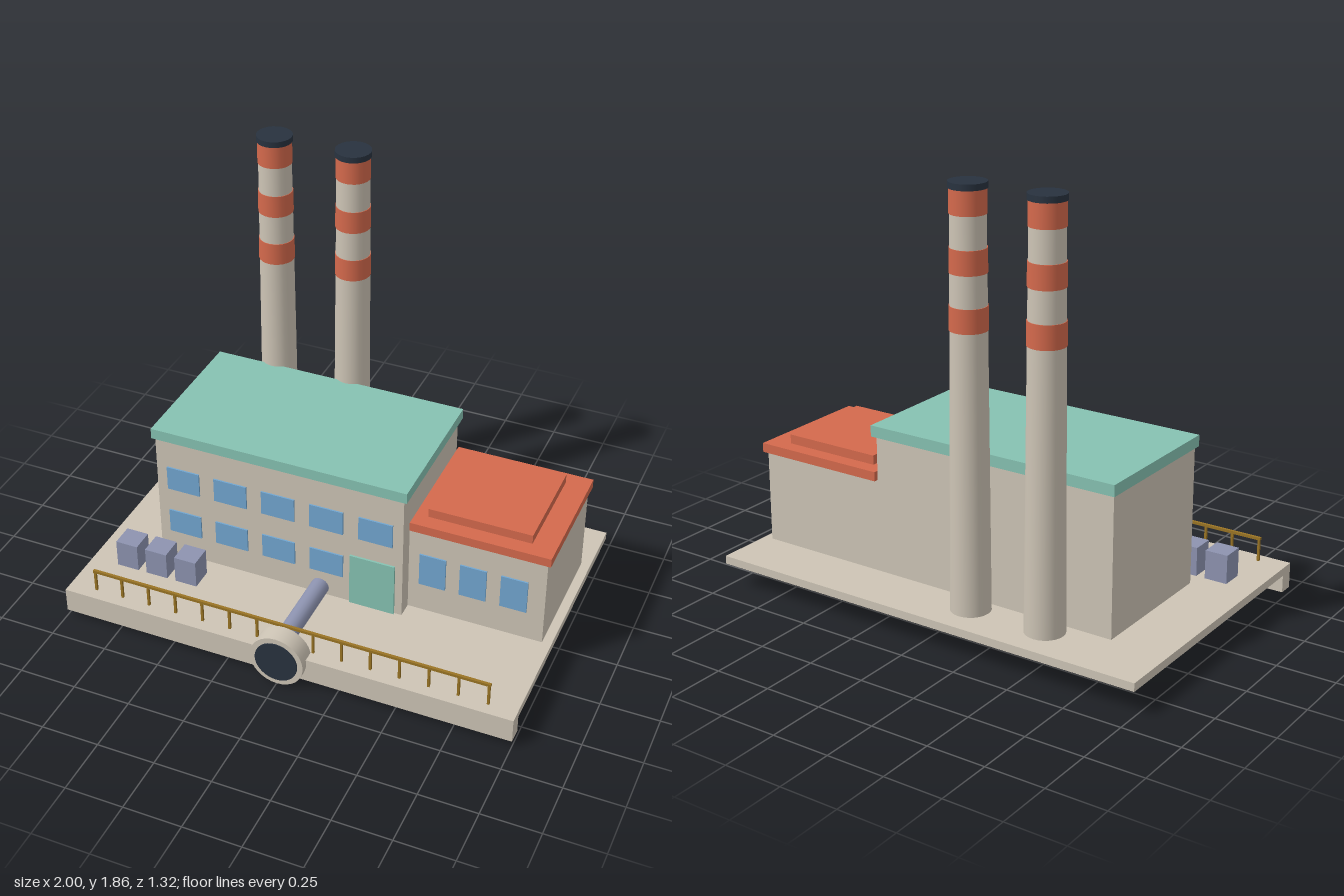
import * as THREE from 'three';

const mat = (name, color) => {
  const m = new THREE.MeshStandardMaterial({ color });
  m.name = name;
  return m;
};

export function createModel() {
  const concrete = mat('concrete', 0xcdc4b5);
  const teal = mat('teal', 0x86c2b2);
  const red = mat('brick red', 0xd4694c);
  const glass = mat('window blue', 0x72a6d0);
  const steel = mat('steel lavender', 0x8d93b0);
  const dark = mat('dark navy', 0x28323f);
  const gold = mat('railing gold', 0x9a7424);

  const model = new THREE.Group();
  model.name = 'powerPlant';

  // Box given by its min and max on each axis
  const box = (name, m, x0, x1, y0, y1, z0, z1, parent = model) => {
    const mesh = new THREE.Mesh(new THREE.BoxGeometry(x1 - x0, y1 - y0, z1 - z0), m);
    mesh.position.set((x0 + x1) / 2, (y0 + y1) / 2, (z0 + z1) / 2);
    mesh.name = name;
    parent.add(mesh);
    return mesh;
  };
  const group = (name) => {
    const g = new THREE.Group();
    g.name = name;
    model.add(g);
    return g;
  };

  // Ground slab with a deeper front lip
  box('baseSlab', concrete, -1, 1, 0.105, 0.14, -0.66, 0.56);
  box('baseLip', concrete, -1, 1, 0.03, 0.14, 0.555, 0.62);

  // Main hall
  box('mainHall', concrete, -0.75, 0.37, 0.14, 0.735, -0.41, 0.21);
  box('mainRoof', teal, -0.762, 0.385, 0.735, 0.783, -0.428, 0.222);
  box('door', teal, 0.137, 0.337, 0.14, 0.39, 0.21, 0.219);

  // Side annex
  box('annex', concrete, 0.37, 0.96, 0.14, 0.543, -0.41, 0.14);
  box('annexRoof', red, 0.372, 0.973, 0.543, 0.583, -0.428, 0.147);
  box('annexRoofCap', red, 0.427, 0.872, 0.583, 0.623, -0.364, 0.08);

  // Windows: five above, four below beside the door, three on the annex
  const windows = group('windows');
  const pane = (x, y, w, h, z) =>
    box('window', glass, x - w / 2, x + w / 2, y - h / 2, y + h / 2, z, z + 0.007, windows);
  for (let i = 0; i < 5; i++) {
    const x = -0.626 + i * 0.219;
    pane(x, 0.543, 0.15, 0.112, 0.21);
    if (i < 4) pane(x, 0.318, 0.15, 0.112, 0.21);
  }
  for (let i = 0; i < 3; i++) pane(0.476 + i * 0.176, 0.355, 0.115, 0.155, 0.14);

  // Tapered chimneys with painted bands and dark caps
  const y0 = 0.14, y1 = 1.84;
  const radiusAt = (y) => 0.083 - 0.014 * (y - y0) / (y1 - y0);
  for (const x of [-0.5, -0.15]) {
    const chimney = group('chimney');
    chimney.position.set(x, 0, -0.49);
    const ring = (name, m, a, b, extra) => {
      const g = new THREE.CylinderGeometry(radiusAt(b) + extra, radiusAt(a) + extra, b - a, 24);
      const mesh = new THREE.Mesh(g, m);
      mesh.position.y = (a + b) / 2;
      mesh.name = name;
      chimney.add(mesh);
    };
    ring('stack', concrete, y0, y1, 0);
    for (const a of [1.295, 1.518, 1.742]) ring('band', red, a, a + 0.096, 0.003);
    ring('cap', dark, 1.838, 1.863, 0.007);
  }

  // Outlet pipe running forward to a round mouth
  const tube = (name, m, r, y, z0, z1, segments) => {
    const g = new THREE.CylinderGeometry(r, r, z1 - z0, segments).rotateX(Math.PI / 2);
    const mesh = new THREE.Mesh(g, m);
    mesh.position.set(0, y, (z0 + z1) / 2);
    mesh.name = name;
    model.add(mesh);
  };
  tube('outletPipe', steel, 0.04, 0.177, 0.2, 0.58, 20);
  tube('outletCollar', concrete, 0.118, 0.12, 0.572, 0.655, 32);
  tube('outletMouth', dark, 0.094, 0.12, 0.652, 0.66, 32);

  // Transformer boxes
  for (let i = 0; i < 3; i++) {
    const x = -0.877 + i * 0.139;
    box('transformer', steel, x, x + 0.1, 0.14, 0.265, 0.283, 0.383);
  }

  // Railing along the front edge
  const railing = group('railing');
  box('handrail', gold, -0.885, 0.885, 0.234, 0.246, 0.56, 0.572, railing);
  for (let i = 0; i < 15; i++) {
    const x = -0.878 + i * 0.1254;
    box('post', gold, x - 0.005, x + 0.005, 0.14, 0.236, 0.561, 0.571, railing);
  }

  return model;
}
